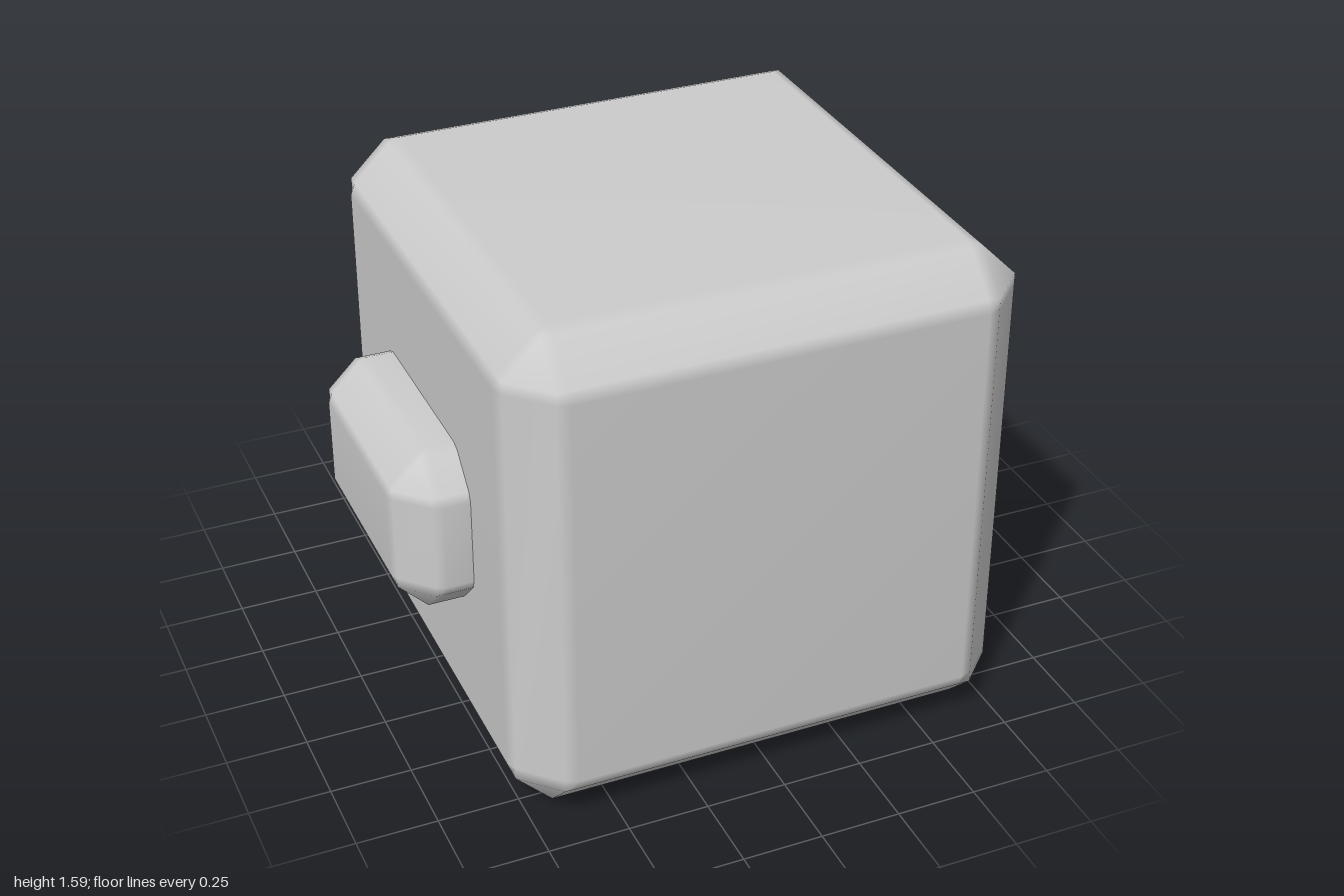
import * as THREE from 'three';
import { mergeVertices } from 'three/addons/utils/BufferGeometryUtils.js';

const grey = new THREE.MeshStandardMaterial({ color: 0xcccccc });
const greyThin = new THREE.MeshStandardMaterial({ color: 0xcccccc, side: THREE.DoubleSide });

// Softened chamfer: pairs of insets from two neighbouring faces
const chamfer = (c) => [[1.13 * c, 0], [0.87 * c, 0.1 * c], [0.1 * c, 0.87 * c], [0, 1.13 * c]];

// Box with broad, softened chamfers, lofted from rings along y
function softBox(hx, hy, hz, c, openBottom = false) {
  const prof = chamfer(c);
  const levels = prof.map(([d, e]) => [d, hy - e]);
  const rings = [...levels.map(([d, y]) => [d, -y]), ...levels.slice().reverse()];
  const corners = [[1, 1, false], [-1, 1, true], [-1, -1, false], [1, -1, true]];
  const pos = [], index = [];
  const n = 16;
  for (const [d, y] of rings) {
    for (const [sx, sz, flip] of corners) {
      const pts = prof.map(([a, b]) => [sx * (hx - Math.max(d, b)), sz * (hz - Math.max(d, a))]);
      if (flip) pts.reverse();
      for (const [x, z] of pts) pos.push(x, y, z);
    }
  }
  for (let r = 0; r < rings.length - 1; r++) {
    for (let i = 0; i < n; i++) {
      const a = r * n + i, b = r * n + (i + 1) % n;
      index.push(a, a + n, b, b, a + n, b + n);
    }
  }
  // End caps as fans
  const last = (rings.length - 1) * n;
  pos.push(0, hy, 0, 0, -hy, 0);
  const top = rings.length * n;
  for (let i = 0; i < n; i++) {
    const j = (i + 1) % n;
    index.push(top, last + j, last + i);
    if (!openBottom) index.push(top + 1, i, j);
  }
  const geo = new THREE.BufferGeometry();
  geo.setAttribute('position', new THREE.Float32BufferAttribute(pos, 3));
  geo.setIndex(index);
  const merged = mergeVertices(geo, 1e-4);
  merged.computeVertexNormals();
  return merged;
}

// Flat downward-facing panel from a shape drawn in x, z
const panel = (shape) => new THREE.ShapeGeometry(shape).rotateX(Math.PI / 2);

// Upright wall following an outline in x, z
function wall(points, height) {
  const pos = [];
  points.forEach((p, i) => {
    const q = points[(i + 1) % points.length];
    pos.push(p.x, 0, p.y, q.x, 0, q.y, q.x, height, q.y);
    pos.push(p.x, 0, p.y, q.x, height, q.y, p.x, height, p.y);
  });
  const geo = new THREE.BufferGeometry();
  geo.setAttribute('position', new THREE.Float32BufferAttribute(pos, 3));
  geo.computeVertexNormals();
  return geo;
}

export function createModel() {
  const model = new THREE.Group();
  const add = (name, geo, x, y, z, material = grey) => {
    const mesh = new THREE.Mesh(geo, material);
    mesh.name = name;
    mesh.position.set(x, y, z);
    model.add(mesh);
    return mesh;
  };

  const H = 0.795, C = 0.145, ZC = 0.14;
  add('body', softBox(0.79, H, 0.79, C, true), 0, H, ZC);

  // Side blocks
  for (const s of [1, -1]) {
    add(s > 0 ? 'leftBlock' : 'rightBlock', softBox(0.2, 0.265, 0.405, 0.115), s * 0.8, 0.797, ZC);
  }

  // Rounded knob on the back
  add('backKnob', new THREE.SphereGeometry(1, 16, 10), 0, 0.8, -0.65).scale.set(0.235, 0.28, 0.285);

  // Face sunk into the underside: two round eyes and a half-moon mouth
  const circle = (x, z, r) => Array.from({ length: 20 }, (_, i) => {
    const a = (i / 20) * Math.PI * 2;
    return new THREE.Vector2(x + r * Math.cos(a), z + r * Math.sin(a));
  });
  const mouth = Array.from({ length: 13 }, (_, i) => {
    const t = (i / 12) * Math.PI;
    return new THREE.Vector2(0.45 * Math.cos(t), 0.41 - 0.21 * Math.sin(t));
  });
  mouth.push(new THREE.Vector2(-0.43, 0.44), new THREE.Vector2(0.43, 0.44));
  const recesses = [
    ['leftEye', circle(0.325, -0.21, 0.18)],
    ['rightEye', circle(-0.325, -0.21, 0.18)],
    ['mouth', mouth],
  ];

  const e = 0.79 - 1.13 * C;
  const base = new THREE.Shape([[e, e], [-e, e], [-e, -e], [e, -e]].map(([x, z]) => new THREE.Vector2(x, z)));
  const depth = 0.09;
  for (const [name, pts] of recesses) {
    base.holes.push(new THREE.Path(pts));
    add(name + 'Wall', wall(pts, depth), 0, 0, ZC, greyThin);
    add(name + 'Floor', panel(new THREE.Shape(pts)), 0, depth, ZC, greyThin);
  }
  add('underside', panel(base), 0, 0, ZC);

  return model;
}
